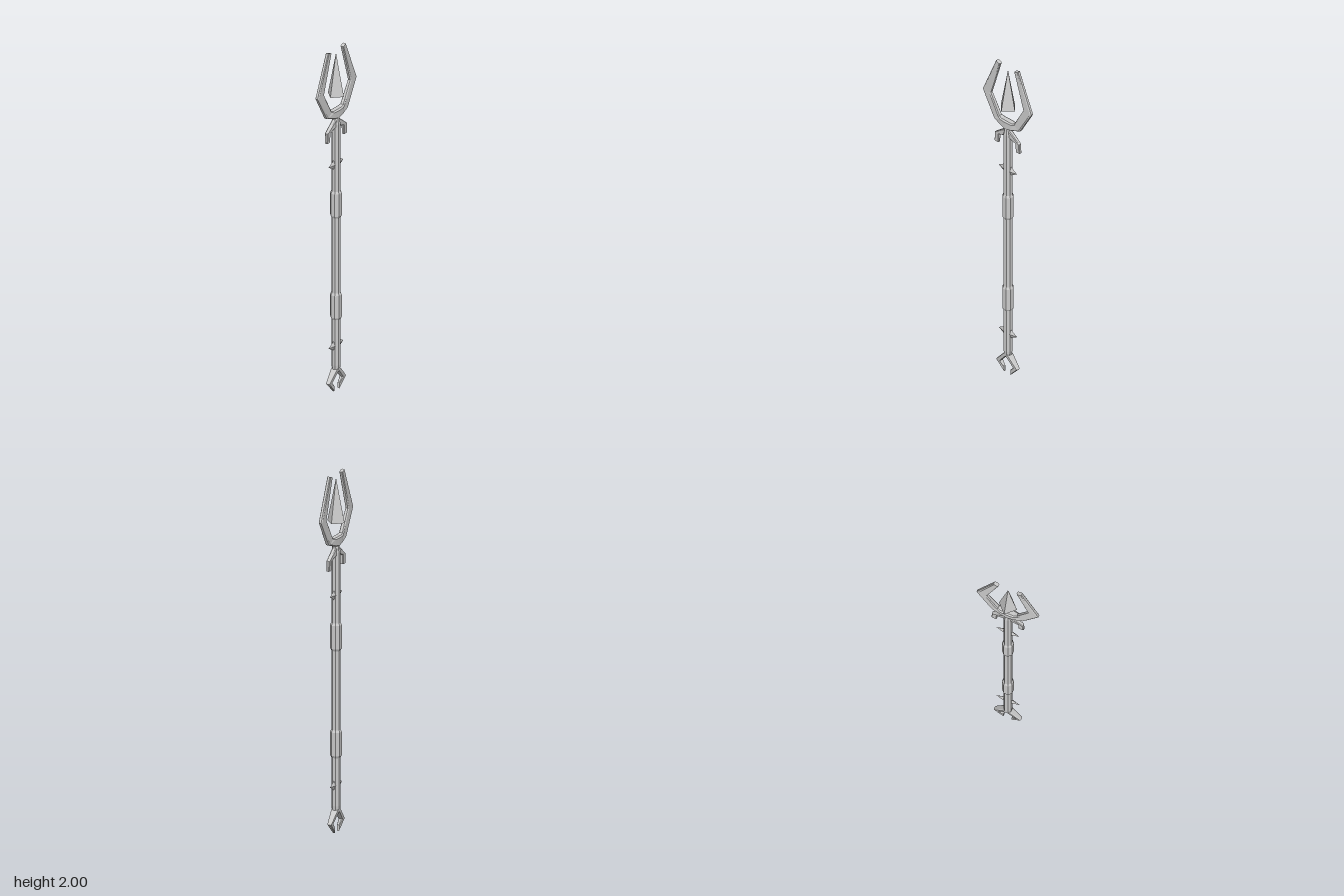
import * as THREE from 'three';

const material = new THREE.MeshStandardMaterial({ color: 0xcccccc, flatShading: true, side: THREE.DoubleSide });

function add(parent, name, geometry) {
  const mesh = new THREE.Mesh(geometry, material);
  mesh.name = name;
  parent.add(mesh);
  return mesh;
}

// Mirrored limb: each section is [lower x, y, upper x, y, half depth], from the centre out to the +x tip.
function limbGeometry(half) {
  const left = half.slice(1).reverse().map(([ax, ay, bx, by, d]) => [-ax, ay, -bx, by, d]);
  const sections = [...left, ...half];
  const ring = [[1, -0.6], [1, 0.6], [0.75, 1], [-0.75, 1], [-1, 0.6], [-1, -0.6], [-0.75, -1], [0.75, -1]];
  const n = ring.length, pos = [], index = [];
  for (const [ax, ay, bx, by, d] of sections) {
    for (const [u, w] of ring) {
      const t = (u + 1) / 2;
      pos.push(ax + (bx - ax) * t, ay + (by - ay) * t, w * d);
    }
  }
  for (let i = 0; i < sections.length - 1; i++) {
    for (let j = 0; j < n; j++) {
      const a = i * n + j, b = i * n + (j + 1) % n;
      index.push(a, b, a + n, b, b + n, a + n);
    }
  }
  const last = (sections.length - 1) * n;
  for (let j = 1; j < n - 1; j++) {
    index.push(0, j + 1, j, last, last + j, last + j + 1);
  }
  const g = new THREE.BufferGeometry();
  g.setAttribute('position', new THREE.Float32BufferAttribute(pos, 3));
  g.setIndex(index);
  const flat = g.toNonIndexed();
  flat.computeVertexNormals();
  return flat;
}

// Eight-sided turned shape from [half width, y] pairs, flats facing front and side
function turned(profile) {
  const k = 1 / Math.cos(Math.PI / 8);
  return new THREE.LatheGeometry(profile.map(([r, y]) => new THREE.Vector2(r * k, y)), 8, Math.PI / 8);
}

export function createModel() {
  const staff = new THREE.Group();
  staff.name = 'staff';

  // Shaft, tapered into the fork at the top and the claw at the foot
  add(staff, 'shaft', turned([[0, 0.115], [0.02, 0.12], [0.023, 0.15], [0.023, 1.56], [0.015, 1.61], [0, 1.61]]));

  // Two swollen grips with chamfered ends
  for (const [name, y] of [['lowerGrip', 0.495], ['upperGrip', 1.09]]) {
    add(staff, name, turned([[0.022, -0.08], [0.029, -0.065], [0.029, 0.065], [0.022, 0.08]])).position.y = y;
  }

  // Pairs of side thorns
  for (const [name, y] of [['lowerThorn', 0.265], ['upperThorn', 1.325]]) {
    for (const s of [-1, 1]) {
      const g = new THREE.ConeGeometry(1, 0.053, 4);
      g.scale(0.031, 1, 0.013);
      g.rotateZ(-s * Math.PI / 2);
      add(staff, name, g).position.set(s * 0.0415, y, 0);
    }
  }

  // Fork head with two long bent prongs
  add(staff, 'fork', limbGeometry([
    [0, 1.592, 0, 1.647, 0.022],
    [0.035, 1.60, 0.04, 1.647, 0.02],
    [0.095, 1.622, 0.055, 1.652, 0.014],
    [0.18, 1.768, 0.121, 1.77, 0.011],
    [0.081, 2.0, 0.053, 1.99, 0.01],
  ]));

  // Downturned hooks under the fork
  add(staff, 'hooks', limbGeometry([
    [0, 1.54, 0, 1.595, 0.015],
    [0.024, 1.54, 0.015, 1.59, 0.013],
    [0.063, 1.527, 0.09, 1.532, 0.01],
    [0.063, 1.475, 0.094, 1.475, 0.009],
  ]));

  // Open claw at the foot
  add(staff, 'claw', limbGeometry([
    [0, 0.115, 0, 0.14, 0.02],
    [0.005, 0.11, 0.022, 0.125, 0.019],
    [0.048, 0.06, 0.079, 0.06, 0.012],
    [0.024, 0.034, 0.024, 0.0, 0.007],
  ]));

  // Floating four-sided spearhead
  add(staff, 'spearhead', new THREE.ConeGeometry(0.052, 0.245, 4)).position.y = 1.85;

  return staff;
}
